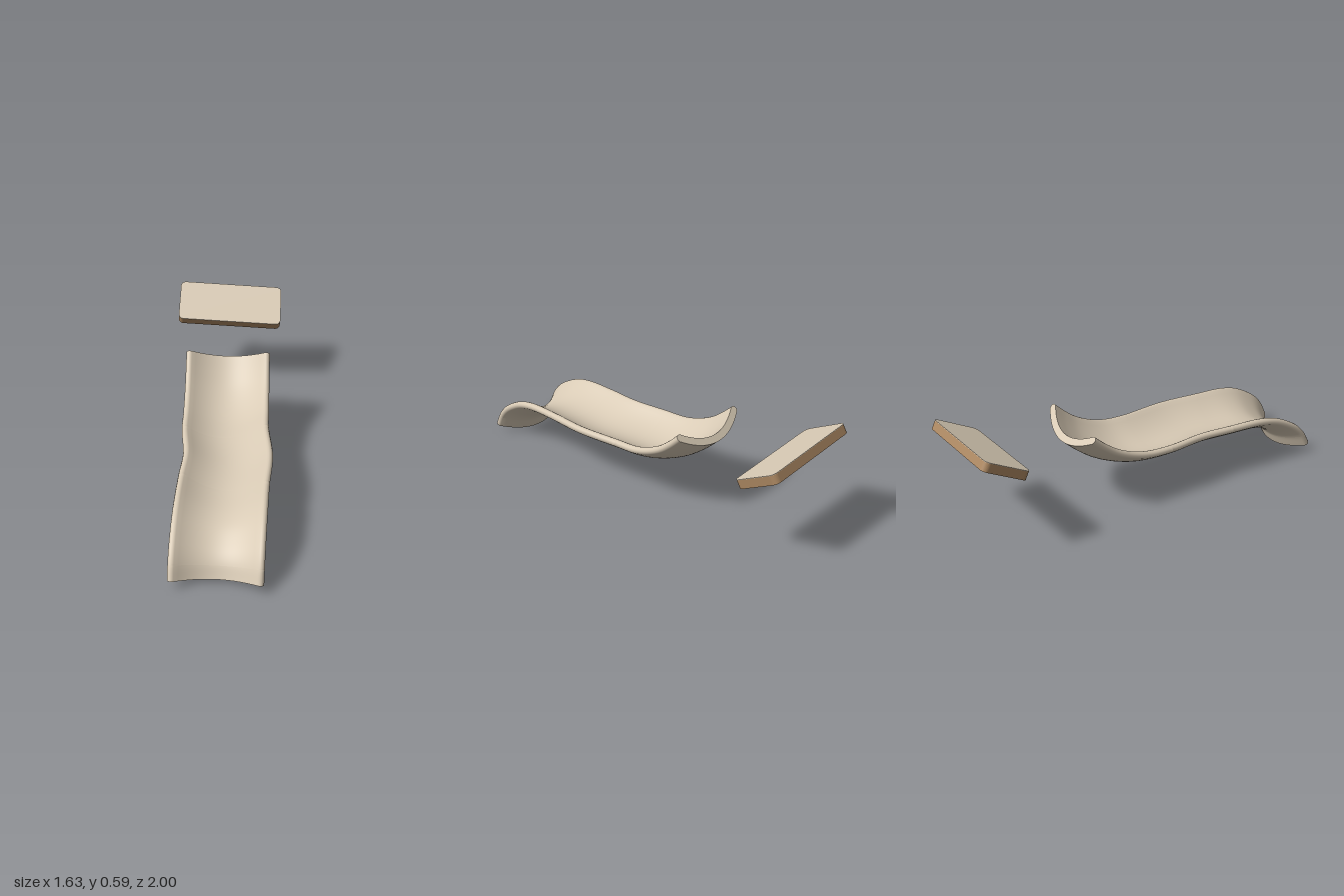
import * as THREE from 'three';

const V = (x, y, z) => new THREE.Vector3(x, y, z);

// Rim path from foot to head: [x, y, z, yaw in degrees] at the panel joints, filled in by profiles
const foot = [-0.635, 0.86, 37.4], knee = [-0.318, 0.45, 42];
const hip = [-0.065, 0.077, 31.5], head = [0.195, -0.293, 36];
const along = (a, b, profile) => profile.map(([f, y]) => {
  const [x, z, yaw] = a.map((v, i) => v + (b[i] - v) * f);
  return [x, y, z, yaw];
});
const stations = [
  ...along(foot, knee, [[0, 0.055], [0.07, 0.125], [0.16, 0.178], [0.28, 0.222], [0.45, 0.265], [0.65, 0.288], [1, 0.295]]),
  [-0.185, 0.298, 0.285, 35.6],
  ...along(hip, head, [[0, 0.3], [0.3, 0.31], [0.5, 0.335], [0.7, 0.378], [0.85, 0.428], [1, 0.49]]),
];
const LAST = stations.length - 1;
const path = new THREE.CatmullRomCurve3(stations.map(([x, y, z]) => V(x, y, z)));
const yaws = new THREE.CatmullRomCurve3(stations.map((s, i) => V(i, s[3] / 10, 0)));

// Trough cross-section with rounded rims, counter-clockwise
function troughSection() {
  const half = 0.213, sag = 0.086, r = 0.02, n = 20, pts = [];
  const put = (u, turn) => {
    const normal = Math.atan2(2 * sag * u, half) + Math.PI / 2 + turn;
    pts.push(new THREE.Vector2(
      u * half + Math.cos(normal) * r,
      -0.016 - sag * (1 - u * u) + Math.sin(normal) * r));
  };
  for (let i = 0; i <= n; i++) put(1 - 2 * i / n, 0);
  for (let k = 1; k < 6; k++) put(-1, Math.PI * k / 6);
  for (let i = 0; i <= n; i++) put(-1 + 2 * i / n, Math.PI);
  for (let k = 1; k < 6; k++) put(1, Math.PI + Math.PI * k / 6);
  return pts;
}

// One panel of the shell, swept between two stations and closed at both ends
function panel(name, from, to, steps, material) {
  const section = troughSection(), m = section.length;
  const pos = [], index = [];
  const ring = s => {
    const t = s / LAST, p = path.getPoint(t), dir = path.getTangent(t);
    const yaw = THREE.MathUtils.degToRad(yaws.getPoint(t).y * 10);
    const w = V(Math.cos(yaw), 0, Math.sin(yaw));
    const n = w.clone().cross(dir).normalize();
    for (const q of section) pos.push(...p.clone().addScaledVector(w, q.x).addScaledVector(n, q.y).toArray());
  };
  for (let i = 0; i <= steps; i++) ring(from + (to - from) * i / steps);
  for (let i = 0; i < steps; i++) {
    for (let j = 0; j < m; j++) {
      const a = i * m + j, b = i * m + (j + 1) % m;
      index.push(a, a + m, b, a + m, b + m, b);
    }
  }
  const faces = THREE.ShapeUtils.triangulateShape(section, []);
  const start = pos.length / 3;
  ring(from);
  ring(to);
  for (const [a, b, c] of faces) {
    index.push(start + a, start + b, start + c);
    index.push(start + m + a, start + m + c, start + m + b);
  }
  const geo = new THREE.BufferGeometry();
  geo.setAttribute('position', new THREE.Float32BufferAttribute(pos, 3));
  geo.setIndex(index);
  geo.computeVertexNormals();
  const mesh = new THREE.Mesh(geo, material);
  mesh.name = name;
  return mesh;
}

// Flat slab with rounded corners, lying in x-z with its underside at y = bottom
function slab(name, w, d, r, bottom, thickness, material) {
  const shape = new THREE.Shape();
  const x = w / 2 - r, y = d / 2 - r;
  shape.absarc(x, y, r, 0, Math.PI / 2);
  shape.absarc(-x, y, r, Math.PI / 2, Math.PI);
  shape.absarc(-x, -y, r, Math.PI, Math.PI * 1.5);
  shape.absarc(x, -y, r, Math.PI * 1.5, Math.PI * 2);
  const geo = new THREE.ExtrudeGeometry(shape, { depth: thickness, bevelEnabled: false, curveSegments: 8 });
  geo.rotateX(-Math.PI / 2).translate(0, bottom, 0);
  const mesh = new THREE.Mesh(geo, material);
  mesh.name = name;
  return mesh;
}

export function createModel() {
  const beige = new THREE.MeshStandardMaterial({ color: 0xd8cab5 });
  beige.name = 'beige';
  const tan = new THREE.MeshStandardMaterial({ color: 0xab8761 });
  tan.name = 'tan';

  const model = new THREE.Group();
  model.name = 'lounger';

  // Curved lounger shell in four panels
  const shell = new THREE.Group();
  shell.name = 'shell';
  shell.add(
    panel('footLip', 0, 1, 6, beige),
    panel('legRest', 1, 6, 40, beige),
    panel('seat', 6, 8, 20, beige),
    panel('backRest', 8, LAST, 40, beige));
  model.add(shell);

  // Tilted headrest: tan body with a beige face
  const headrest = new THREE.Group();
  headrest.name = 'headrest';
  headrest.add(
    slab('headrestBody', 0.6, 0.262, 0.03, -0.05, 0.047, tan),
    slab('headrestFace', 0.6, 0.262, 0.03, -0.003, 0.003, beige));
  const side = V(0.822, -0.06, 0.565).normalize();
  const up = V(-0.51, -0.47, 0.725).cross(side).normalize();
  const front = side.clone().cross(up);
  headrest.quaternion.setFromRotationMatrix(new THREE.Matrix4().makeBasis(side, up, front));
  headrest.position.set(0.498, 0.512, -0.729);
  model.add(headrest);

  return model;
}
